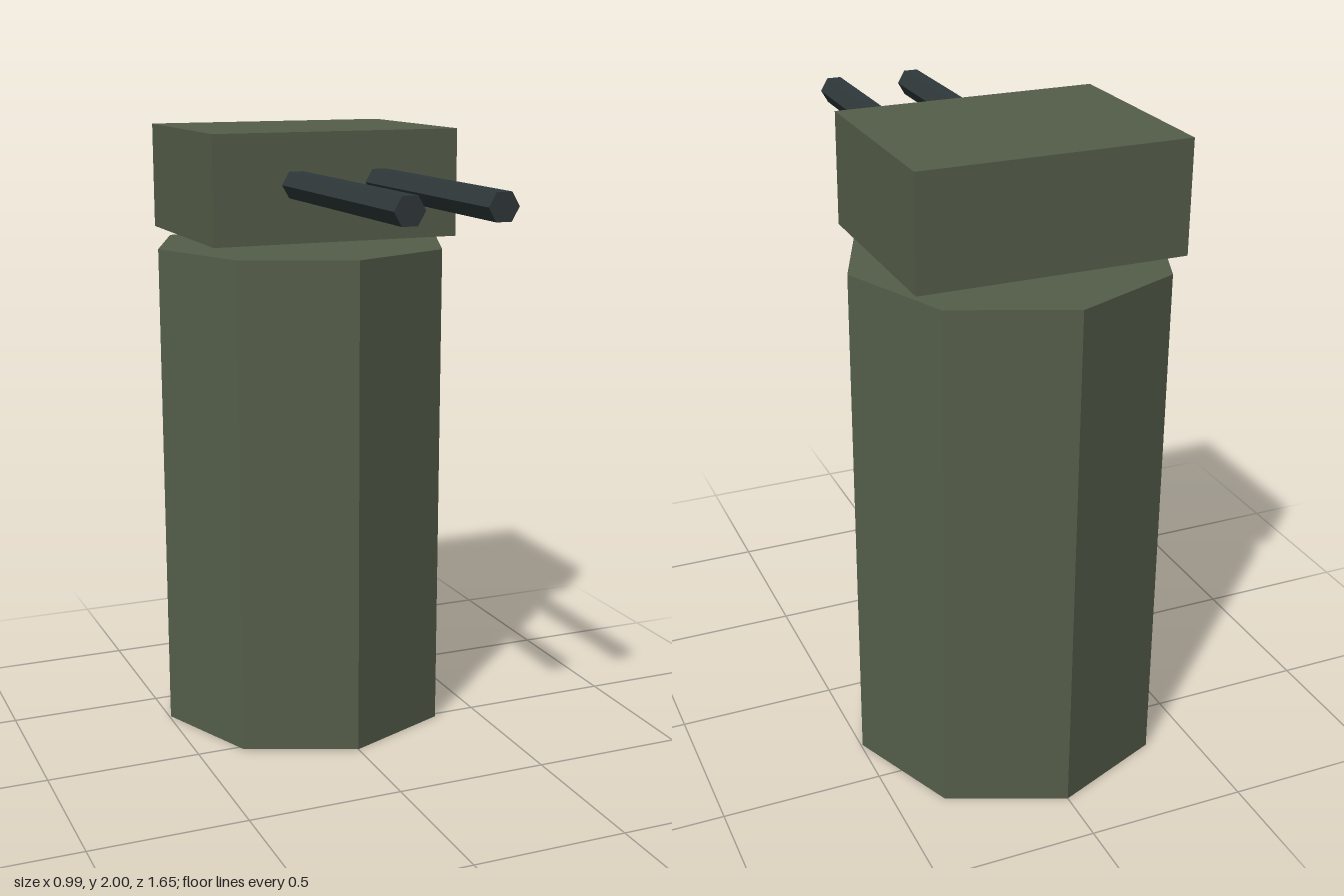
import * as THREE from 'three';

export function createModel() {
  const group = new THREE.Group();
  const olive = new THREE.MeshStandardMaterial({ color: 0x555e4a, flatShading: true });
  olive.name = 'olive green';
  const gunmetal = new THREE.MeshStandardMaterial({ color: 0x2f383a, flatShading: true });
  gunmetal.name = 'dark gunmetal';

  const add = (name, geometry, material, x, y, z) => {
    const mesh = new THREE.Mesh(geometry, material);
    mesh.name = name;
    mesh.position.set(x, y, z);
    group.add(mesh);
  };

  // Eight-sided pedestal, corners on the axes
  add('pedestal', new THREE.CylinderGeometry(0.495, 0.495, 1.62, 8), olive, 0, 0.81, -0.33);

  // Turret head, floating just above the pedestal
  add('turretHead', new THREE.BoxGeometry(0.823, 0.343, 0.64), olive, 0, 1.8285, -0.33);

  // Twin six-sided barrels, corners pointing sideways
  for (const [name, side] of [['leftBarrel', 1], ['rightBarrel', -1]]) {
    const barrel = new THREE.CylinderGeometry(0.047, 0.047, 0.835, 6, 1, false, Math.PI / 2);
    barrel.rotateX(Math.PI / 2);
    add(name, barrel, gunmetal, side * 0.14, 1.84, 0.4075);
  }
  return group;
}
